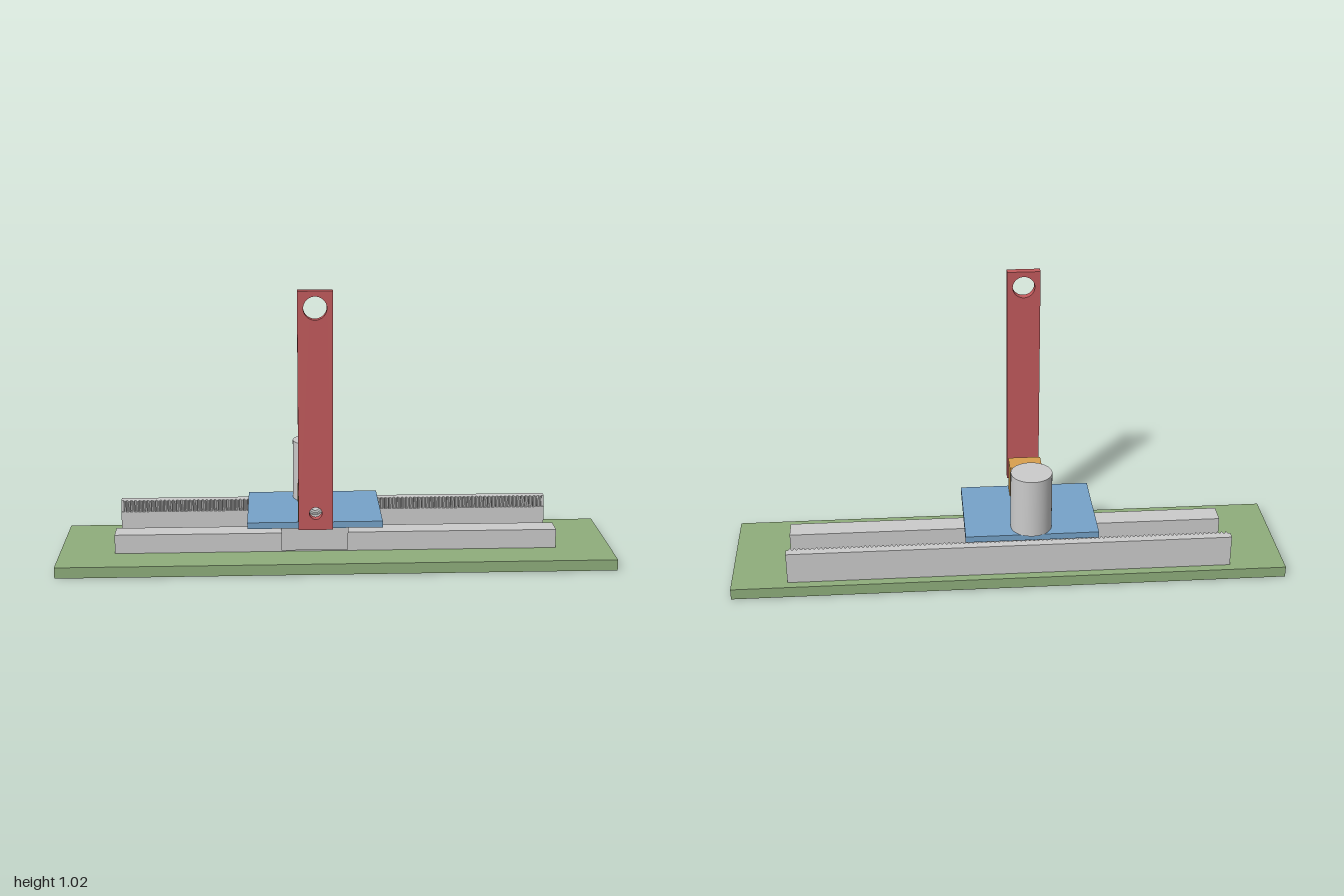
import * as THREE from 'three';

const mat = (color) => new THREE.MeshStandardMaterial({ color });
const GREY = mat(0xcccccc);
const GREEN = mat(0x8fae7c);
const BLUE = mat(0x76a3c9);
const RED = mat(0xc25a5c);
const ORANGE = mat(0xd9a04e);

const CX = -0.08; // x of the carriage and everything on it
const MODULE = 0.005; // gear tooth size
const PITCH = Math.PI * MODULE;

export function createModel() {
  const group = new THREE.Group();

  const add = (name, geometry, material, x = 0, y = 0, z = 0) => {
    const mesh = new THREE.Mesh(geometry, material);
    mesh.name = name;
    mesh.position.set(x, y, z);
    group.add(mesh);
    return mesh;
  };
  // box from its centre x, width and the y and z ranges
  const box = (name, material, x, w, y0, y1, z0, z1) =>
    add(name, new THREE.BoxGeometry(w, y1 - y0, z1 - z0), material, x, (y0 + y1) / 2, (z0 + z1) / 2);
  // rectangular plate with round holes [y, radius], extruded along z
  const drilledPlate = (name, material, w, y0, y1, z0, z1, holes) => {
    const s = new THREE.Shape();
    s.moveTo(-w / 2, y0).lineTo(w / 2, y0).lineTo(w / 2, y1).lineTo(-w / 2, y1).closePath();
    for (const [y, r] of holes) s.holes.push(new THREE.Path().absarc(0, y, r, 0, Math.PI * 2, true));
    const g = new THREE.ExtrudeGeometry(s, { depth: z1 - z0, bevelEnabled: false, curveSegments: 32 });
    return add(name, g, material, CX, 0, z0);
  };
  // outline in plan (x, -z), extruded upwards
  const upright = (name, points, y0, y1, x, z) => {
    const g = new THREE.ExtrudeGeometry(new THREE.Shape(points), { depth: y1 - y0, bevelEnabled: false });
    g.rotateX(-Math.PI / 2);
    return add(name, g, GREY, x, y0, z);
  };

  // base and linear rail
  box('base', GREEN, 0, 2, 0, 0.04, -0.254, 0.205);
  box('rail', GREY, 0, 1.6, 0.04, 0.11, -0.012, 0.067);

  // rack: plain lower bar, toothed upper bar with teeth facing the front
  box('rackBody', GREY, 0, 1.6, 0.04, 0.115, -0.222, -0.182);
  const comb = [new THREE.Vector2(0.8, 0.222), new THREE.Vector2(-0.8, 0.222), new THREE.Vector2(-0.8, 0.192)];
  const teeth = 101;
  for (let i = 0; i < teeth; i++) {
    const x = (i - (teeth - 1) / 2) * PITCH;
    for (const [dx, z] of [[-0.36, 0.192], [-0.14, 0.182], [0.14, 0.182], [0.36, 0.192]])
      comb.push(new THREE.Vector2(x + dx * PITCH, z));
  }
  comb.push(new THREE.Vector2(0.8, 0.192));
  upright('rackTeeth', comb.reverse(), 0.115, 0.157, 0, 0);

  // carriage
  box('carriageBlock', GREY, CX, 0.24, 0.06, 0.16, -0.06, 0.113);
  box('carriagePlate', BLUE, CX, 0.48, 0.161, 0.184, -0.194, 0.166);

  // motor, shaft and pinion
  const motorZ = -0.133;
  add('motor', new THREE.CylinderGeometry(0.074, 0.074, 0.22, 48), GREY, CX, 0.294, motorZ);
  add('motorShaft', new THREE.CylinderGeometry(0.012, 0.012, 0.046, 24), GREY, CX, 0.161, motorZ);
  const gear = [];
  const count = 20;
  for (let i = 0; i < count; i++) {
    for (const [da, r] of [[-0.36, 0.044], [-0.14, 0.055], [0.14, 0.055], [0.36, 0.044]]) {
      const a = ((i + da) / count) * Math.PI * 2;
      gear.push(new THREE.Vector2(Math.cos(a) * r, Math.sin(a) * r));
    }
  }
  upright('pinion', gear, 0.117, 0.155, CX, motorZ);

  // pivot block with a ball bearing pressed through it
  const pivotY = 0.245;
  drilledPlate('pivotBlock', ORANGE, 0.12, 0.184, 0.304, 0.087, 0.166, [[pivotY, 0.041]]);
  const h = 0.044; // half length of the bearing
  const ring = (name, r0, r1, half) => {
    const corners = [[r0, -half], [r1, -half], [r1, half], [r0, half], [r0, -half]];
    const g = new THREE.LatheGeometry(corners.map(([r, y]) => new THREE.Vector2(r, y)), 40).toNonIndexed();
    g.computeVertexNormals();
    g.rotateX(Math.PI / 2);
    add(name, g, GREY, CX, pivotY, 0.127);
  };
  ring('bearingOuterRing', 0.032, 0.042, h);
  ring('bearingCage', 0.024, 0.033, h - 0.008);
  ring('bearingInnerRing', 0.016, 0.025, h);

  // pendulum arm standing in front of the pivot
  drilledPlate('pendulumArm', RED, 0.12, 0.185, 1.025, 0.224, 0.254, [[pivotY, 0.022], [0.966, 0.04]]);

  return group;
}
